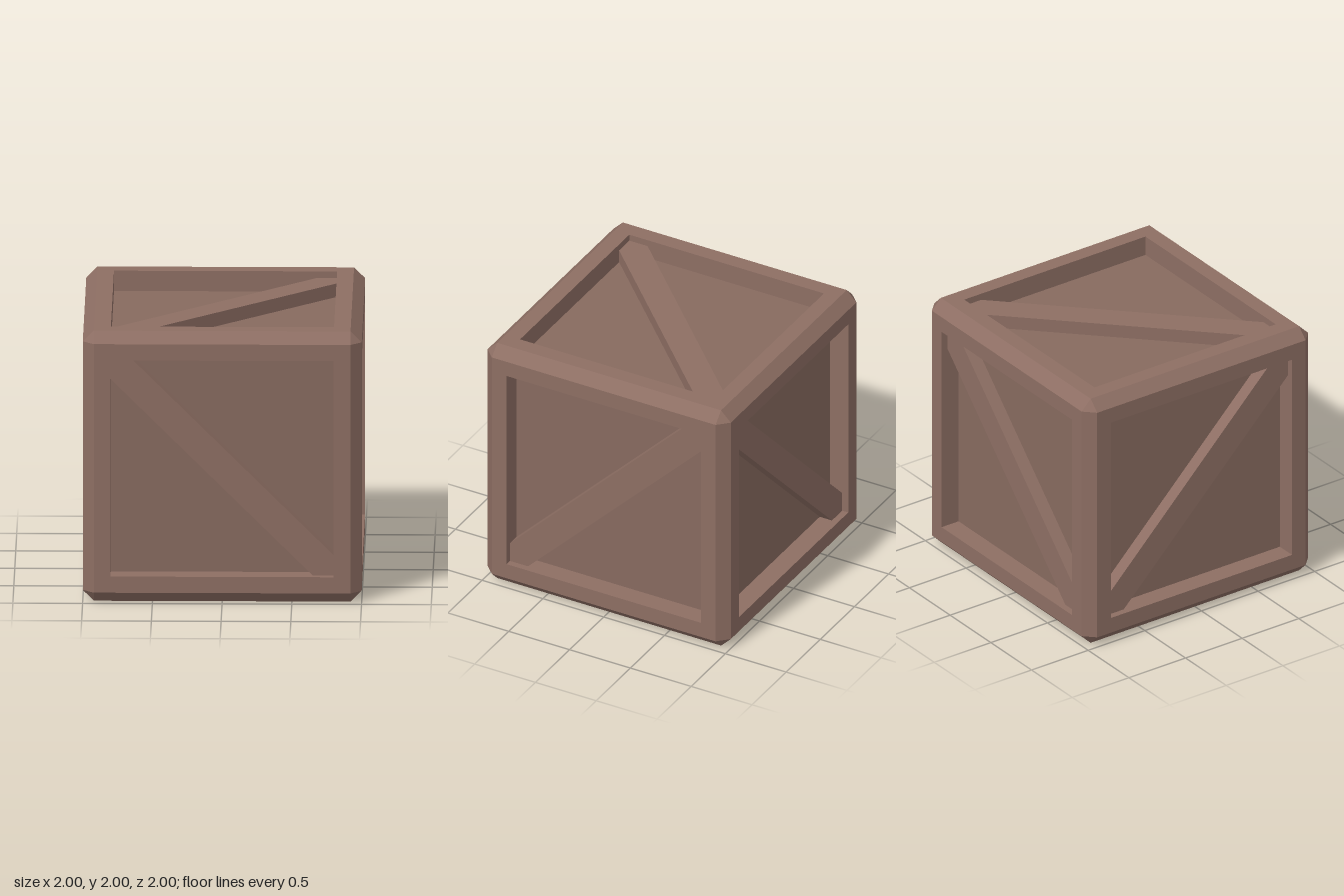
import * as THREE from 'three';

const CHAMFER = 0.08;          // edge bevel
const FACE = 1 - CHAMFER;      // half width of each flat face
const OPEN = 0.8;              // half width of the recessed opening
const FLOOR = 0.85;            // distance of the panels from the centre
const BRACE_TOP = 0.95;
const BRACE_CUT = 0.15;        // how far the brace reaches along each opening edge

const wood = new THREE.MeshStandardMaterial({ color: 0x8d6e63, flatShading: true });
const panelWood = new THREE.MeshStandardMaterial({ color: 0x876a5f, flatShading: true });

function add(parent, name, geometry, material = wood) {
  const mesh = new THREE.Mesh(geometry, material);
  mesh.name = name;
  parent.add(mesh);
  return mesh;
}

// Square rim around the opening plus the inner walls: a four-sided lathe
function frameGeometry() {
  const profile = [[FACE, 1], [OPEN, 1], [OPEN, FLOOR]]
    .map(([r, y]) => new THREE.Vector2(r * Math.SQRT2, y));
  return new THREE.LatheGeometry(profile, 4, Math.PI / 4).rotateX(Math.PI / 2);
}

// Diagonal plank with its ends trimmed to the corners of the opening
function braceGeometry() {
  const a = OPEN, b = OPEN - BRACE_CUT;
  const outline = [[-a, -a], [-b, -a], [a, b], [a, a], [b, a], [-a, -b]]
    .map(([x, y]) => new THREE.Vector2(x, y));
  return new THREE.ExtrudeGeometry(new THREE.Shape(outline), {
    depth: BRACE_TOP - FLOOR, bevelEnabled: false,
  }).translate(0, 0, FLOOR);
}

export function createModel() {
  const crate = new THREE.Group();
  crate.name = 'crate';
  const body = new THREE.Group();
  body.name = 'body';
  body.position.y = 1;
  crate.add(body);

  const frame = frameGeometry();
  const brace = braceGeometry();
  const panel = new THREE.PlaneGeometry(2 * OPEN, 2 * OPEN).translate(0, 0, FLOOR);
  const q = Math.PI / 2;

  // Six sides: name, rotation about x and y, and whether the brace falls to the right
  const sides = [
    ['front', 0, 0, true], ['right', 0, q, false],
    ['back', 0, 2 * q, true], ['left', 0, -q, false],
    ['top', -q, 0, false], ['bottom', q, 0, false],
  ];
  for (const [name, rx, ry, falling] of sides) {
    const side = new THREE.Group();
    side.name = name + 'Side';
    side.rotation.set(rx, ry, 0);
    add(side, 'frame', frame);
    add(side, 'panel', panel, panelWood);
    add(side, 'brace', brace).rotation.z = falling ? q : 0;
    body.add(side);
  }

  // Twelve bevelled edges, four along each axis
  for (const turn of [(g) => g, (g) => g.rotateY(q), (g) => g.rotateZ(q)]) {
    for (let k = 0; k < 4; k++) {
      const strip = new THREE.PlaneGeometry(2 * FACE, CHAMFER * Math.SQRT2)
        .translate(0, 0, (1 - CHAMFER / 2) * Math.SQRT2)
        .rotateX(q * (k + 0.5));
      add(body, 'bevelledEdge', turn(strip));
    }
  }

  // Eight cut corners
  for (let k = 0; k < 8; k++) {
    const corner = new THREE.BufferGeometry().setFromPoints([
      new THREE.Vector3(1, FACE, FACE),
      new THREE.Vector3(FACE, 1, FACE),
      new THREE.Vector3(FACE, FACE, 1),
    ]);
    if (k > 3) corner.rotateX(Math.PI);
    corner.rotateY(k * q);
    corner.computeVertexNormals();
    add(body, 'cutCorner', corner);
  }

  return crate;
}
